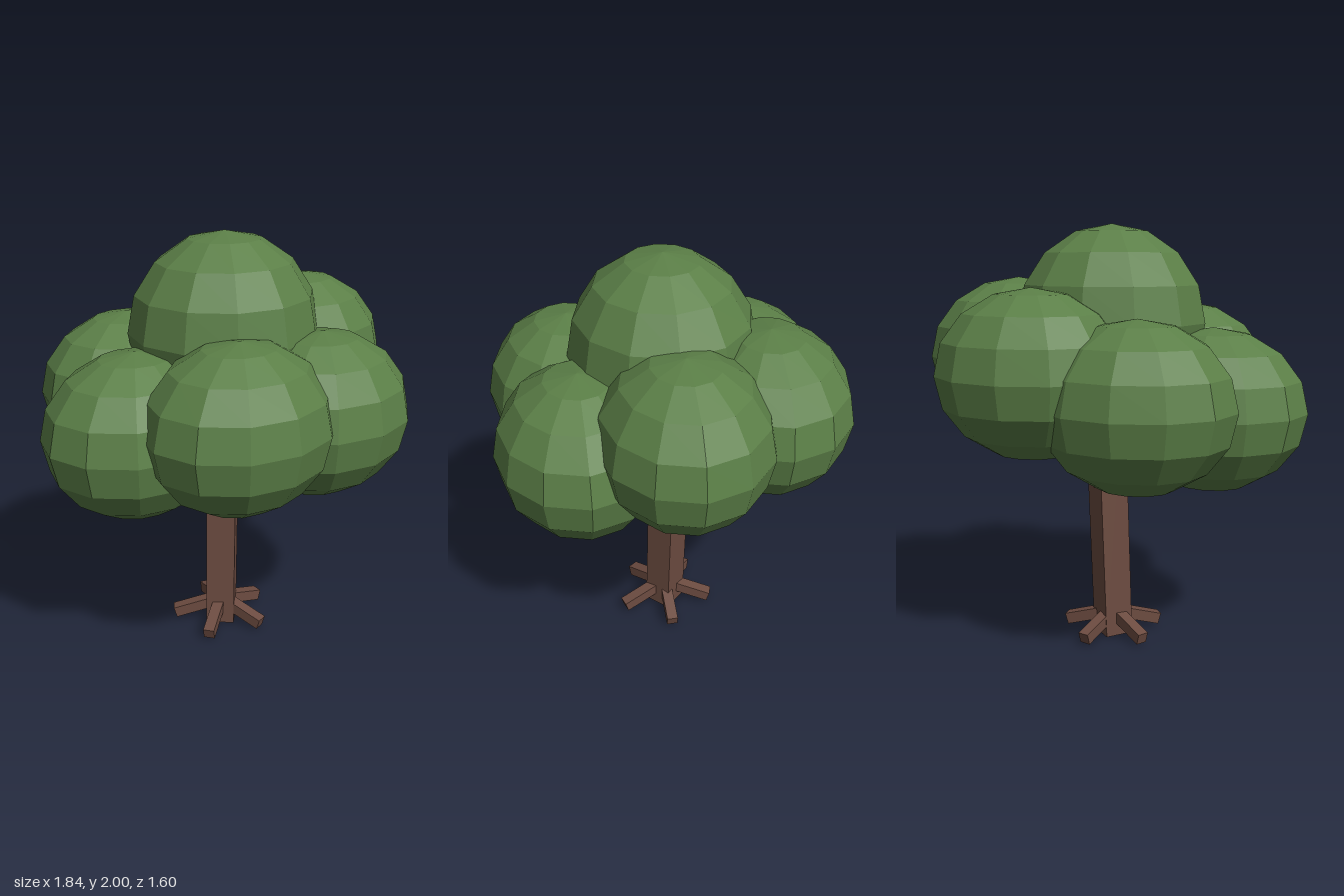
import * as THREE from 'three';

const leaf = new THREE.MeshStandardMaterial({ color: 0x5b7f47, flatShading: true });
leaf.name = 'leaf green';
const bark = new THREE.MeshStandardMaterial({ color: 0x6d4c41, flatShading: true });
bark.name = 'bark brown';

// Four-sided beam running between two points; turn spins it about its axis
function beam(name, from, to, radius, turn = 0) {
  const dir = to.clone().sub(from);
  const geometry = new THREE.CylinderGeometry(radius, radius, dir.length(), 4);
  geometry.rotateY(turn);
  geometry.rotateX(Math.PI / 2); // length now along z, so lookAt aims it
  const mesh = new THREE.Mesh(geometry, bark);
  mesh.name = name;
  mesh.position.copy(from).add(to).multiplyScalar(0.5);
  mesh.lookAt(to);
  return mesh;
}

function foliage(name, center, rx, ry, rz) {
  const mesh = new THREE.Mesh(new THREE.SphereGeometry(1, 12, 8), leaf);
  mesh.name = name;
  mesh.scale.set(rx, ry, rz);
  mesh.position.copy(center);
  return mesh;
}

export function createModel() {
  const tree = new THREE.Group();
  tree.name = 'tree';

  // Square trunk, leaning slightly as it rises
  const height = 1.3;
  const trunkGeometry = new THREE.CylinderGeometry(0.102, 0.1, height, 4);
  trunkGeometry.translate(0, height / 2, 0);
  const pos = trunkGeometry.attributes.position;
  for (let i = 0; i < pos.count; i++) {
    const y = pos.getY(i);
    pos.setX(i, pos.getX(i) + 0.028 * y);
    pos.setZ(i, pos.getZ(i) - 0.022 * y);
  }
  trunkGeometry.computeVertexNormals();
  const trunk = new THREE.Mesh(trunkGeometry, bark);
  trunk.name = 'trunk';
  tree.add(trunk);

  // Five roots sloping down to the ground
  for (let i = 0; i < 5; i++) {
    const a = (i * Math.PI * 2) / 5;
    const at = (r, y) => new THREE.Vector3(r * Math.cos(a), y, r * Math.sin(a));
    tree.add(beam('root', at(0.04, 0.097), at(0.24, 0.038), 0.039, Math.PI / 4));
  }

  // Ring of six leaf clumps at varied heights, each held by a branch
  const clumpHeights = [1.375, 1.21, 1.25, 1.155, 1.215, 1.34];
  const fork = new THREE.Vector3(0.02, 0.7, -0.015);
  clumpHeights.forEach((y, i) => {
    const a = (i * Math.PI) / 3;
    const center = new THREE.Vector3(0.48 * Math.cos(a), y, 0.48 * Math.sin(a));
    tree.add(foliage('leafClump', center, 0.44, 0.38, 0.385));
    tree.add(beam('branch', fork, center, 0.037, Math.PI / 4));
  });

  // Crown on top
  tree.add(foliage('crown', new THREE.Vector3(0.01, 1.55, 0.01), 0.45, 0.45, 0.428));

  return tree;
}
